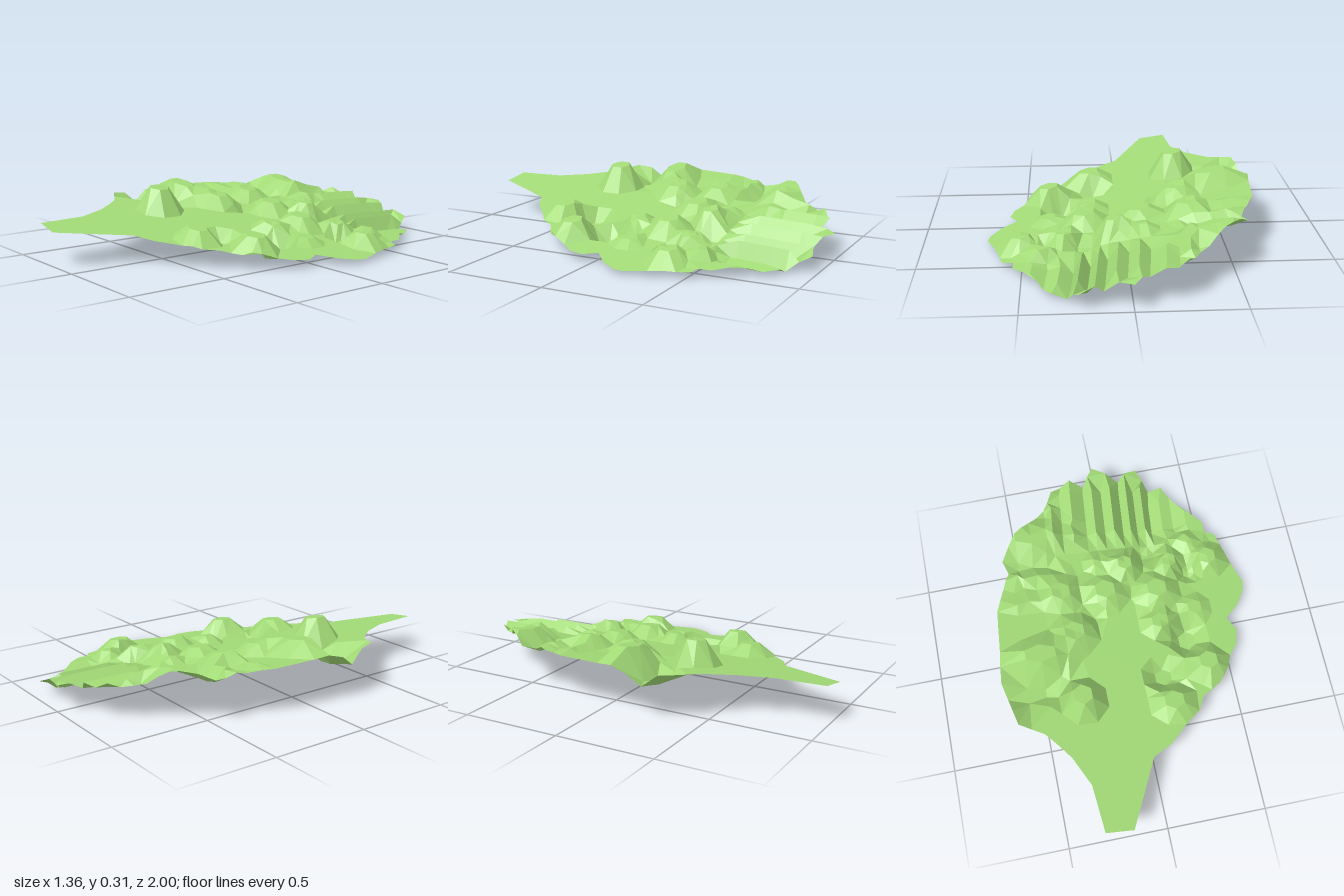
import * as THREE from 'three';

const clamp = THREE.MathUtils.clamp;

// Leaf outline as [x, z]: ragged back edge, right side, stem, left side
const outline = [[-0.68, 0.16], [-0.66, 0], [-0.64, -0.22], [-0.59, -0.34], [-0.55, -0.43], [-0.57, -0.5],
  [-0.48, -0.63], [-0.4, -0.69], [-0.31, -0.77], [-0.25, -0.87], [-0.14, -0.93], [-0.07, -0.9],
  [0, -1], [0.13, -0.92], [0.17, -0.95], [0.24, -0.97], [0.29, -0.86], [0.36, -0.86], [0.43, -0.73],
  [0.54, -0.6], [0.54, -0.54], [0.59, -0.52], [0.64, -0.33], [0.68, -0.22], [0.67, -0.17],
  [0.62, -0.09], [0.54, -0.02], [0.58, 0.05], [0.56, 0.13], [0.51, 0.19], [0.48, 0.26], [0.42, 0.33],
  [0.32, 0.39], [0.28, 0.46], [0.2, 0.52], [0.1, 0.61], [0, 0.66], [-0.17, 1], [-0.31, 0.99],
  [-0.33, 0.75], [-0.4, 0.6], [-0.46, 0.52], [-0.51, 0.46], [-0.63, 0.39]];

// Lengthwise pleats of the back edge: x, height offset
const pleats = [[-0.25, 0.03], [-0.2, 0], [-0.14, 0.03], [-0.07, -0.02], [-0.02, 0.03], [0.03, -0.02],
  [0.08, 0.03], [0.13, -0.04], [0.17, 0.01], [0.21, -0.06], [0.25, 0.01], [0.29, -0.08],
  [0.35, -0.03], [0.41, -0.04], [0.48, 0]];

// Blisters and pits: x, z, radius in x, radius in z, height
const blisters = [
  [-0.29, 0.32, 0.13, 0.13, 0.12],
  [-0.46, 0.06, 0.22, 0.12, 0.075], [-0.56, 0.23, 0.26, 0.1, -0.075],
  [-0.27, -0.04, 0.14, 0.13, 0.06], [-0.07, -0.25, 0.14, 0.13, 0.06],
  [-0.3, -0.27, 0.13, 0.12, 0.06], [-0.47, -0.25, 0.18, 0.07, 0.02],
  [-0.15, -0.13, 0.07, 0.06, -0.04],
  [-0.4, -0.61, 0.24, 0.13, 0.06], [-0.42, -0.46, 0.22, 0.06, -0.03],
  [-0.4, -0.39, 0.22, 0.06, 0.025], [-0.06, -0.42, 0.11, 0.08, 0.04],
  [0.06, -0.38, 0.1, 0.1, 0.08], [0.2, -0.22, 0.14, 0.13, 0.07],
  [0.18, -0.04, 0.12, 0.1, 0.05], [0.31, 0.05, 0.12, 0.13, -0.085],
  [0.14, 0.24, 0.12, 0.11, -0.06], [0.16, 0.4, 0.14, 0.12, 0.06],
  [0.38, 0.22, 0.13, 0.12, 0.075], [0.38, -0.1, 0.1, 0.1, 0.03],
  [0.3, -0.38, 0.1, 0.1, 0.05], [0.4, -0.33, 0.08, 0.09, -0.045],
  [0.51, -0.37, 0.12, 0.12, 0.065], [0.42, -0.5, 0.1, 0.07, 0.04],
  [0.2, -0.45, 0.1, 0.08, -0.04],
];

// Pleats lean toward the left as they run forward from the back edge
const lean = z => 0.09 * clamp(z + 0.95, 0, 0.45);

function pleatHeight(x, z) {
  const u = x + lean(z), i = pleats.findIndex(p => p[0] > u);
  if (i < 1) return 0;
  const [x0, h0] = pleats[i - 1], [x1, h1] = pleats[i];
  return (h0 + (h1 - h0) * (u - x0) / (x1 - x0)) * clamp((-0.5 - z) / 0.1, 0, 1);
}

// Tilted leaf plane with pleats and flat-topped blisters
function leafHeight(x, z) {
  let y = 0.13 - 0.16 * x + 0.01 * z + pleatHeight(x, z);
  for (const [cx, cz, rx, rz, h] of blisters) {
    const d = Math.hypot((x - cx) / rx, (z - cz) / rz);
    y += h * clamp((1 - d) / 0.6, 0, 1);
  }
  return Math.max(y, 0);
}

function insideOutline(x, z) {
  let inside = false;
  outline.forEach(([x1, z1], i) => {
    const [x2, z2] = outline[(i + 1) % outline.length];
    if ((z1 > z) !== (z2 > z) && x < x1 + (x2 - x1) * (z - z1) / (z2 - z1)) inside = !inside;
  });
  return inside;
}

// Fold points: the edge, the pleat lines, then the rims and feet of the blisters
function foldPoints() {
  const points = [];
  outline.forEach(([x1, z1], i) => {
    const [x2, z2] = outline[(i + 1) % outline.length];
    const steps = Math.ceil(Math.hypot(x2 - x1, z2 - z1) / 0.09);
    for (let k = 0; k < steps; k++) points.push([x1 + (x2 - x1) * k / steps, z1 + (z2 - z1) * k / steps]);
  });
  const add = (x, z, gap) => {
    if (insideOutline(x, z) && points.every(p => Math.hypot(p[0] - x, p[1] - z) > gap)) points.push([x, z]);
  };
  for (const [x] of pleats) for (const z of [-0.5, -0.6, -0.69, -0.78, -0.86]) add(x - lean(z), z, 0.025);
  for (const [scale, sides] of [[0, 1], [0.4, 6], [1, 8]]) {
    for (const [cx, cz, rx, rz] of blisters) {
      for (let k = 0; k < sides; k++) {
        const a = (k + 0.5) / sides * Math.PI * 2;
        add(cx + rx * scale * Math.cos(a), cz + rz * scale * Math.sin(a), 0.032);
      }
    }
  }
  // A tiny shift keeps points off shared circles
  return points.map(([x, z], i) => [x + 1e-4 * Math.sin(i * 12.9), z + 1e-4 * Math.sin(i * 78.2)]);
}

// Delaunay triangulation by adding one point at a time
function triangulate(points) {
  const n = points.length;
  const p = [...points, [-30, -20], [30, -20], [0, 40]];
  const makeTriangle = (a, b, c) => {
    const [ax, az] = p[a], bx = p[b][0] - ax, bz = p[b][1] - az, cx = p[c][0] - ax, cz = p[c][1] - az;
    const d = 2 * (bx * cz - bz * cx), b2 = bx * bx + bz * bz, c2 = cx * cx + cz * cz;
    const ux = (cz * b2 - bz * c2) / d, uz = (bx * c2 - cx * b2) / d;
    return { corners: [a, b, c], x: ax + ux, z: az + uz, r2: ux * ux + uz * uz };
  };
  let triangles = [makeTriangle(n, n + 1, n + 2)];
  for (let i = 0; i < n; i++) {
    const rim = new Map(), kept = [];
    for (const t of triangles) {
      if ((p[i][0] - t.x) ** 2 + (p[i][1] - t.z) ** 2 > t.r2) {
        kept.push(t);
        continue;
      }
      t.corners.forEach((a, k) => {
        const b = t.corners[(k + 1) % 3];
        if (!rim.delete(b + '_' + a)) rim.set(a + '_' + b, [a, b]);
      });
    }
    for (const [a, b] of rim.values()) kept.push(makeTriangle(a, b, i));
    triangles = kept;
  }
  return triangles.map(t => t.corners).filter(c => c.every(k => k < n));
}

// Faceted sheet: keep triangles inside the outline, wound to face up
function leafGeometry() {
  const points = foldPoints();
  const vertices = points.map(([x, z]) => [x, leafHeight(x, z), z]);
  const positions = [];
  for (const [a, b, c] of triangulate(points)) {
    const [A, B, C] = [vertices[a], vertices[b], vertices[c]];
    if (!insideOutline((A[0] + B[0] + C[0]) / 3, (A[2] + B[2] + C[2]) / 3)) continue;
    const up = (B[2] - A[2]) * (C[0] - A[0]) - (B[0] - A[0]) * (C[2] - A[2]) > 0;
    positions.push(...A, ...(up ? B : C), ...(up ? C : B));
  }
  const geometry = new THREE.BufferGeometry();
  geometry.setAttribute('position', new THREE.Float32BufferAttribute(positions, 3));
  geometry.computeVertexNormals();
  return geometry;
}

export function createModel() {
  const group = new THREE.Group();
  group.name = 'lettuceLeaf';
  const leafGreen = new THREE.MeshStandardMaterial({ color: 0xa2da76, side: THREE.DoubleSide, flatShading: true });
  leafGreen.name = 'leafGreen';
  const leaf = new THREE.Mesh(leafGeometry(), leafGreen);
  leaf.name = 'leafBlade';
  group.add(leaf);
  return group;
}
